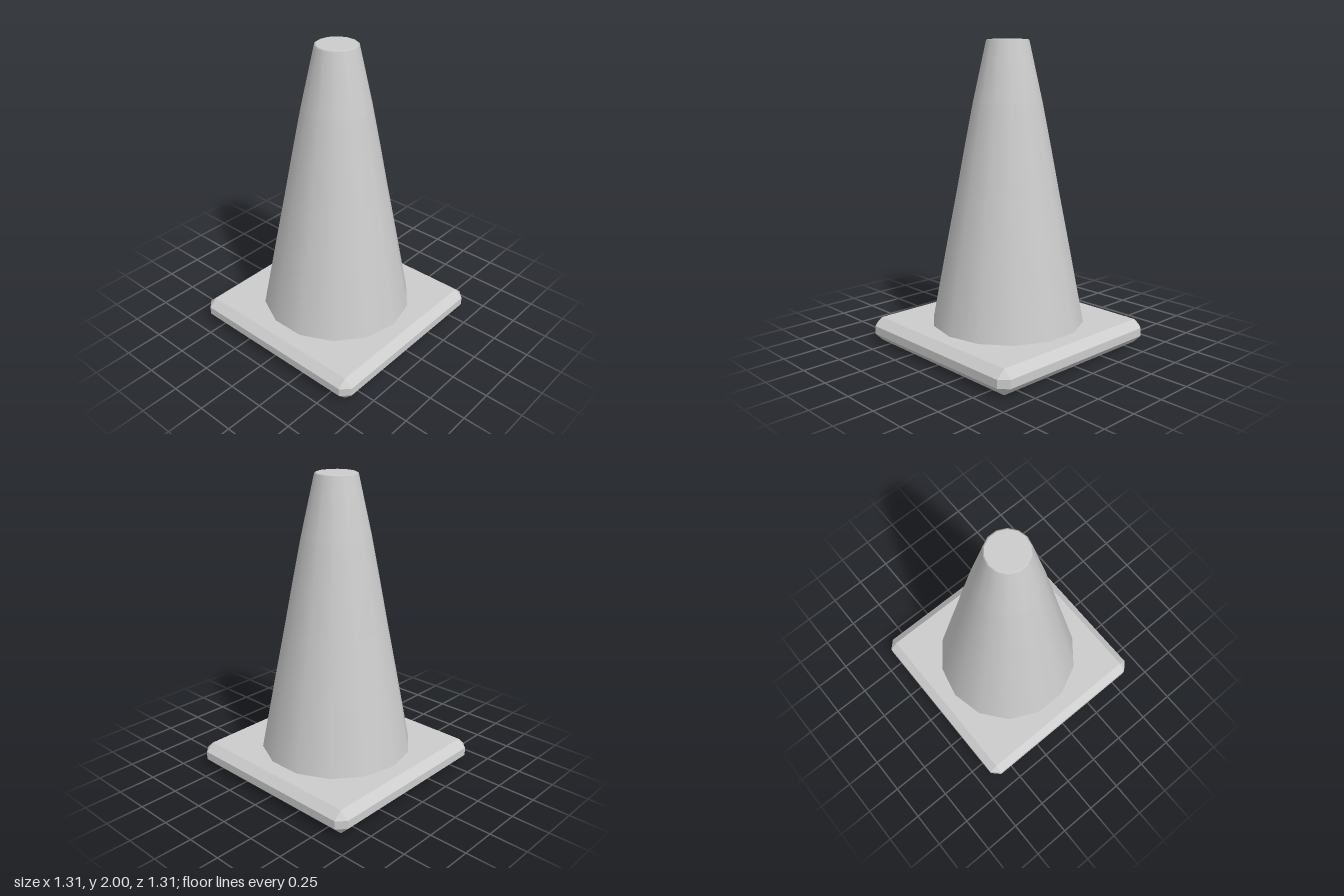
import * as THREE from 'three';
import { ConvexGeometry } from 'three/addons/geometries/ConvexGeometry.js';

const SIDES = 14;

export function createModel() {
  const group = new THREE.Group();
  const grey = new THREE.MeshStandardMaterial({ color: 0xcccccc });
  grey.name = 'light grey';

  const add = (name, geometry) => {
    const mesh = new THREE.Mesh(geometry, grey);
    mesh.name = name;
    group.add(mesh);
    return mesh;
  };

  // Square foot with every edge and corner chamfered
  const inner = 0.6, outer = 0.655, height = 0.16, low = 0.055, high = 0.11;
  const corners = [];
  for (const sx of [-1, 1]) for (const sz of [-1, 1]) {
    for (const y of [0, height]) corners.push(new THREE.Vector3(sx * inner, y, sz * inner));
    for (const y of [low, high]) {
      corners.push(new THREE.Vector3(sx * outer, y, sz * inner));
      corners.push(new THREE.Vector3(sx * inner, y, sz * outer));
    }
  }
  add('base', new ConvexGeometry(corners));

  // Tapered body in stacked sections, each a 14-sided lathe with a corner on the x axis
  const section = (name, points) => {
    const profile = points.map(([r, y]) => new THREE.Vector2(r, y));
    add(name, new THREE.LatheGeometry(profile, SIDES, Math.PI / 2));
  };
  section('lowerBody', [[0.505, height], [0.405, 0.68], [0.338, 1.02]]);
  section('middleBand', [[0.338, 1.02], [0.285, 1.3], [0.226, 1.6]]);
  // The upper section turns over a tiny softened lip
  section('upperBody', [[0.226, 1.6], [0.138, 1.994], [0.128, 2]]);

  // Flat closed tip
  const tip = add('tipCap', new THREE.CircleGeometry(0.128, SIDES));
  tip.rotation.x = -Math.PI / 2;
  tip.position.y = 2;

  return group;
}
